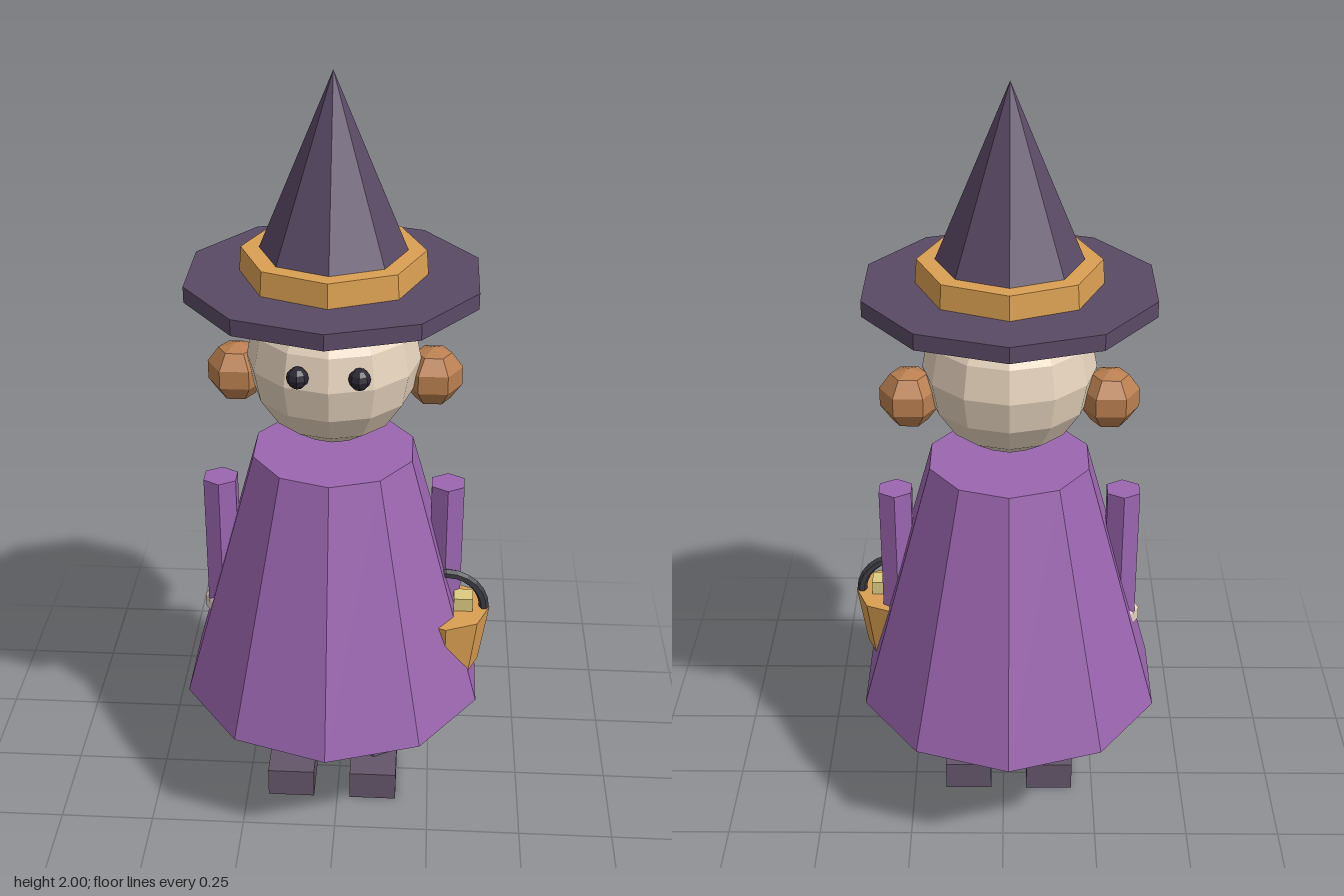
import * as THREE from 'three';

export function createModel() {
  const root = new THREE.Group();
  root.name = 'witchFigure';
  const body = new THREE.Group();
  body.name = 'body';
  body.position.x = -0.015; // the basket widens one side
  root.add(body);

  const mat = (color) => new THREE.MeshStandardMaterial({ color, flatShading: true });
  const purple = mat(0x9b66b0), hat = mat(0x5a4a66), gold = mat(0xdba052);
  const skin = mat(0xe6d3bd), hair = mat(0xba7f50), dark = mat(0x2a2633);
  const stocking = mat(0x62647a), shoe = mat(0x65566a), iron = mat(0x3c3b44);
  const bread = mat(0xdccb80);

  function add(name, geometry, material, x, y, z, parent = body) {
    const mesh = new THREE.Mesh(geometry, material);
    mesh.name = name;
    mesh.position.set(x, y, z);
    parent.add(mesh);
    return mesh;
  }
  // Tapered prism standing between two heights
  function prism(name, rTop, rBottom, y0, y1, sides, material, x = 0, z = 0, parent = body) {
    return add(name, new THREE.CylinderGeometry(rTop, rBottom, y1 - y0, sides),
      material, x, (y0 + y1) / 2, z, parent);
  }

  // Dress
  prism('dress', 0.21, 0.405, 0.35, 1.04, 10, purple);

  // Head
  add('head', new THREE.SphereGeometry(0.215, 12, 8), skin, 0, 1.295, 0);

  // Pointed hat with band
  prism('hatBrim', 0.365, 0.365, 1.475, 1.515, 10, hat);
  prism('hatBand', 0.222, 0.227, 1.51, 1.575, 8, gold);
  prism('hatCone', 0, 0.203, 1.515, 2, 8, hat);

  // Mirrored parts
  for (const [side, s] of [['left', 1], ['right', -1]]) {
    add(side + 'Eye', new THREE.SphereGeometry(0.027, 8, 6), dark, s * 0.073, 1.33, 0.203);
    add(side + 'HairBun', new THREE.SphereGeometry(0.077, 6, 5), hair, s * 0.246, 1.23, -0.04);
    prism(side + 'Arm', 0.048, 0.048, 0.57, 0.945, 6, purple, s * 0.293);
    add(side + 'Hand', new THREE.SphereGeometry(0.057, 6, 5), skin, s * 0.293, 0.56, 0);
    prism(side + 'Leg', 0.055, 0.055, 0.07, 0.4, 6, stocking, s * 0.113);
    add(side + 'Shoe', new THREE.BoxGeometry(0.127, 0.083, 0.195), shoe, s * 0.113, 0.0415, 0.033);
  }

  // Basket with arched handle and bread
  const basket = new THREE.Group();
  basket.name = 'basket';
  basket.position.set(0.298, 0, 0.05);
  body.add(basket);
  prism('basketBowl', 0.115, 0.09, 0.435, 0.6, 8, gold, 0, 0, basket);
  add('basketHandle', new THREE.TorusGeometry(0.1, 0.013, 6, 12, Math.PI), iron, 0, 0.6, 0, basket);
  add('bread', new THREE.BoxGeometry(0.05, 0.05, 0.05), bread, 0.045, 0.612, 0, basket);

  return root;
}
